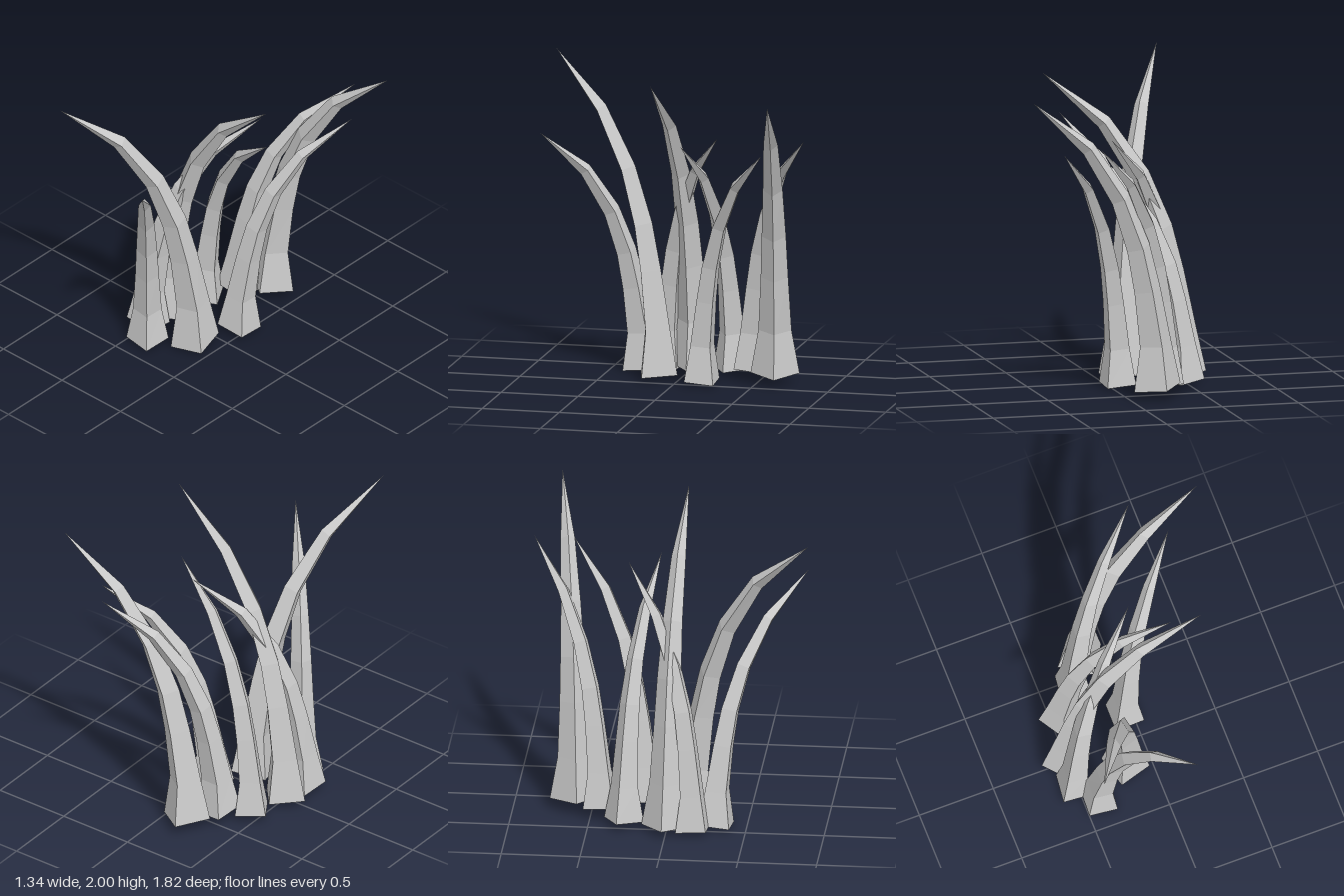
import * as THREE from 'three';

// Centre line of a full-size blade: [forward, height, half width, lean in radians]
const SPINE = [
  [0.00, 0.02, 0.155, 0.12],
  [0.01, 0.31, 0.105, 0.10],
  [0.07, 0.68, 0.087, 0.20],
  [0.135, 0.97, 0.077, 0.30],
  [0.265, 1.31, 0.063, 0.50],
  [0.50, 1.665, 0.046, 0.75],
];
const TIP = [0.90, 2.0];

// Diamond cross-section: back ridge, wing, front ridge, wing [forward, sideways]
const SECTION = [[-1.1, 0], [0, 1], [1, 0], [0, -1]];

// Tapered blade, open at the bottom
function bladeGeometry(scale, widthScale) {
  const pos = [], index = [], n = SECTION.length;
  for (const [u, y, half, lean] of SPINE) {
    const w = half * widthScale, c = Math.cos(lean), s = Math.sin(lean);
    for (const [f, side] of SECTION) {
      pos.push(u * scale + f * w * c, y * scale - f * w * s, side * w);
    }
  }
  const tip = pos.length / 3, last = tip - n;
  pos.push(TIP[0] * scale, TIP[1] * scale, 0);

  for (let j = 0; j < n; j++) {
    const k = (j + 1) % n;
    for (let i = 0; i < last; i += n) {
      const a = i + j, b = i + k;
      index.push(a, b, b + n, a, b + n, a + n);
    }
    index.push(last + j, last + k, tip); // pointed end
  }
  const g = new THREE.BufferGeometry();
  g.setAttribute('position', new THREE.Float32BufferAttribute(pos, 3));
  g.setIndex(index);
  const flat = g.toNonIndexed();
  flat.computeVertexNormals();
  return flat;
}

// Root x, z; tip x, z; lift; length scale; width scale
const BLADES = [
  [-0.175, -0.615, 0.67, -0.77, 0.05, 0.955, 1],
  [-0.29, -0.44, 0.265, -0.91, 0.055, 0.805, 0.86],
  [-0.435, -0.275, 0.245, -0.10, 0.02, 0.785, 0.86],
  [-0.50, -0.005, 0.385, 0.06, 0.01, 0.995, 1],
  [-0.515, 0.167, 0.025, -0.29, 0.005, 0.80, 0.86],
  [-0.40, 0.31, 0.055, 0.855, 0.0, 0.795, 0.86],
  [-0.16, 0.14, -0.60, 0.91, 0.0, 1, 1],
  [-0.045, -0.17, 0.445, -0.68, 0.01, 0.795, 0.86],
];

export function createModel() {
  const group = new THREE.Group();
  group.name = 'grassTuft';
  const material = new THREE.MeshStandardMaterial({
    color: 0xcccccc, flatShading: true, side: THREE.DoubleSide,
  });
  BLADES.forEach(([x, z, tx, tz, lift, scale, width], i) => {
    const blade = new THREE.Mesh(bladeGeometry(scale, width), material);
    blade.name = `grassBlade${i + 1}`;
    blade.position.set(x, lift, z);
    blade.rotation.y = -Math.atan2(tz - z, tx - x);
    // Match the forward reach to the tip position
    blade.scale.x = Math.hypot(tx - x, tz - z) / (TIP[0] * scale);
    group.add(blade);
  });
  return group;
}
